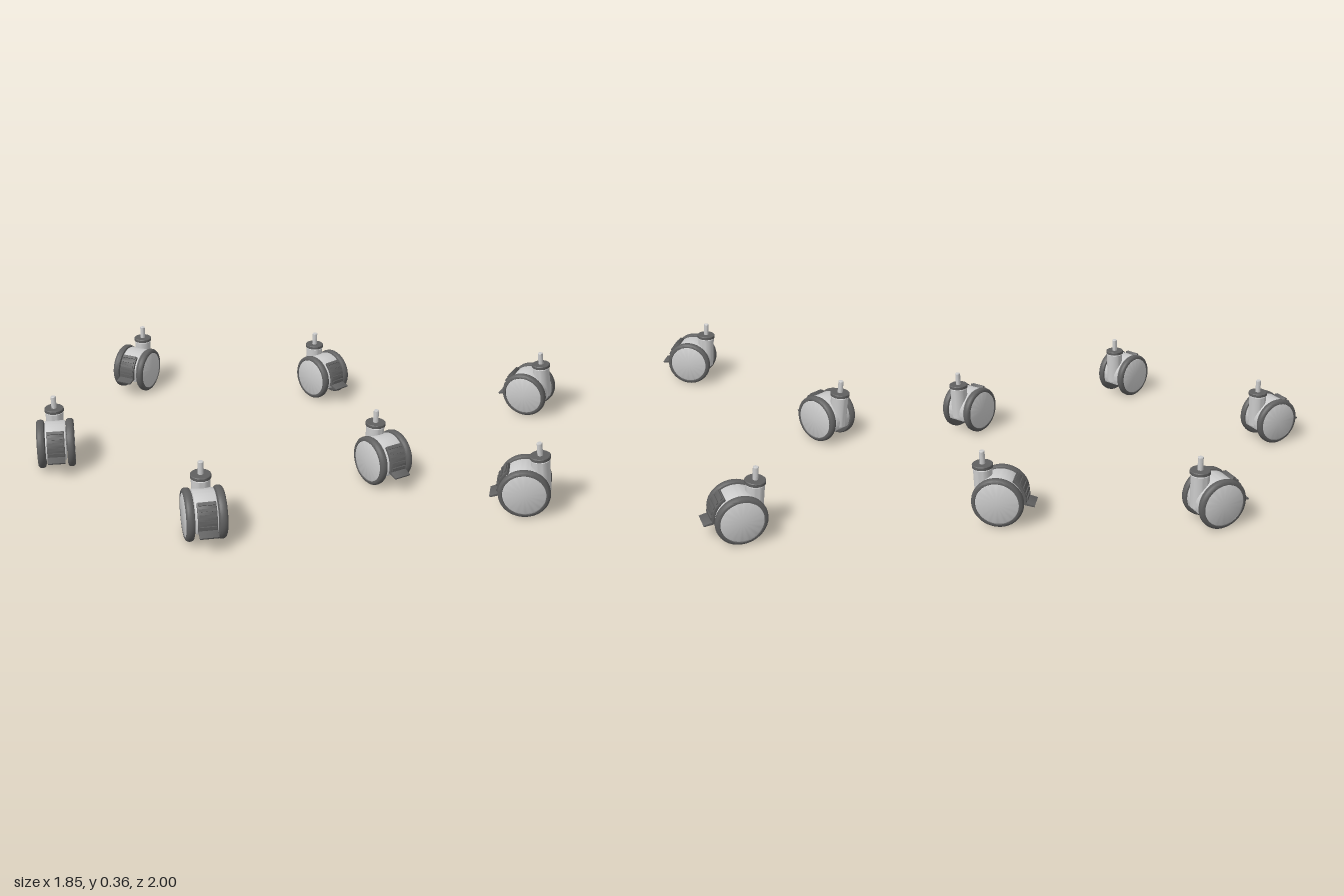
import * as THREE from 'three';
import { toCreasedNormals } from 'three/addons/utils/BufferGeometryUtils.js';

const light = new THREE.MeshStandardMaterial({ color: 0xcccccc });
const dark = new THREE.MeshStandardMaterial({ color: 0x606060 });

const AXLE_Y = 0.126; // wheel centre height
const STEM_Z = -0.08; // swivel stem sits behind the axle

function add(parent, name, geometry, material, x = 0, y = 0, z = 0) {
  const mesh = new THREE.Mesh(geometry, material);
  mesh.name = name;
  mesh.position.set(x, y, z);
  parent.add(mesh);
  return mesh;
}

// Lathe of [radius, height] pairs with sharp edges kept
function turned(points, segments = 48) {
  const profile = points.map(([r, h]) => new THREE.Vector2(r, h));
  return toCreasedNormals(new THREE.LatheGeometry(profile, segments), 0.6);
}

// Extrude a (z, y) side outline to a width centred on x = 0
function sideExtrude(shape, width, bevel) {
  const depth = width - 2 * bevel;
  const g = new THREE.ExtrudeGeometry(shape, {
    depth, bevelEnabled: true, bevelThickness: bevel, bevelSize: bevel,
    bevelOffset: -bevel, bevelSegments: 2, curveSegments: 32,
  });
  g.translate(0, 0, -depth / 2);
  g.rotateY(-Math.PI / 2);
  return toCreasedNormals(g, 0.6);
}

// Round housing between the wheels, cut flat below
function bodyGeometry() {
  const r = 0.117, cut = -0.36;
  const shape = new THREE.Shape();
  shape.absarc(0, 0, r, cut, Math.PI - cut, false);
  shape.closePath();
  return sideExtrude(shape, 0.106, 0.004);
}

// Brake lever: curved strip over the front of the housing with a flared lip
function pedalGeometry() {
  const top = 0.95, low = -0.1;
  const shape = new THREE.Shape();
  shape.absarc(0, 0, 0.131, low, top, false);
  shape.absarc(0, 0, 0.113, top, low - 0.1, true);
  shape.lineTo(0.13, -0.027);
  shape.lineTo(0.168, -0.034);
  shape.lineTo(0.171, -0.026);
  shape.lineTo(0.147, -0.018);
  shape.closePath();
  return sideExtrude(shape, 0.09, 0.002);
}

function createWheel(side) {
  const wheel = new THREE.Group();
  wheel.name = side > 0 ? 'leftWheel' : 'rightWheel';
  // Heights run outwards along the axle
  add(wheel, 'tyre', turned([
    [0.012, 0], [0.112, 0], [0.12, 0.003], [0.1245, 0.01], [0.126, 0.02],
    [0.1245, 0.03], [0.119, 0.037], [0.113, 0.04], [0.106, 0.04], [0.104, 0.036],
  ]), dark);
  add(wheel, 'hubCap', turned([[0.106, 0.03], [0.104, 0.037], [0.1, 0.039], [0, 0.039]]), light);
  wheel.rotation.z = -side * Math.PI / 2;
  wheel.position.set(side * 0.056, AXLE_Y, 0);
  return wheel;
}

function createCaster() {
  const caster = new THREE.Group();
  const unit = new THREE.Group(); // built round the axle, then moved so the stem is the pivot
  unit.name = 'casterUnit';
  unit.position.z = -STEM_Z;
  caster.add(unit);

  // Housing and axle
  add(unit, 'body', bodyGeometry(), light, 0, AXLE_Y, 0);
  const axle = new THREE.CylinderGeometry(0.014, 0.014, 0.13, 20);
  axle.rotateZ(Math.PI / 2);
  add(unit, 'axle', axle, dark, 0, AXLE_Y, 0);
  unit.add(createWheel(1), createWheel(-1));

  // Swivel neck, collar and threaded-in stem
  add(unit, 'neck', turned([[0, 0.1], [0.044, 0.1], [0.046, 0.268], [0.042, 0.27], [0.042, 0.276]], 32), light, 0, 0, STEM_Z);
  add(unit, 'collar', turned([[0.03, 0.274], [0.05, 0.274], [0.05, 0.288], [0.047, 0.291], [0, 0.291]], 32), dark, 0, 0, STEM_Z);
  add(unit, 'stem', turned([[0.0135, 0.28], [0.0135, 0.354], [0.011, 0.357], [0, 0.357]], 20), light, 0, 0, STEM_Z);

  // Brake pedal with grip bars
  add(unit, 'brakePedal', pedalGeometry(), dark, 0, AXLE_Y, 0);
  for (let i = 0; i < 5; i++) {
    const a = 0.86 - i * 0.21;
    const bar = add(unit, 'pedalGrip', new THREE.BoxGeometry(0.078, 0.013, 0.01), dark,
      0, AXLE_Y + 0.132 * Math.sin(a), 0.132 * Math.cos(a));
    bar.rotation.x = -a;
  }
  return caster;
}

export function createModel() {
  const model = new THREE.Group();
  model.name = 'casterSet';
  // Five casters on a circle, each swivelled its own way
  const swivels = [0.275, -0.045, -0.085, -0.66, 0.43];
  swivels.forEach((swivel, i) => {
    const a = Math.PI / 5 + i * Math.PI * 2 / 5;
    const caster = createCaster();
    caster.name = `caster${i + 1}`;
    caster.position.set(0.052 + 0.87 * Math.cos(a), 0, -0.079 + 0.87 * Math.sin(a));
    caster.rotation.y = swivel;
    model.add(caster);
  });
  return model;
}
